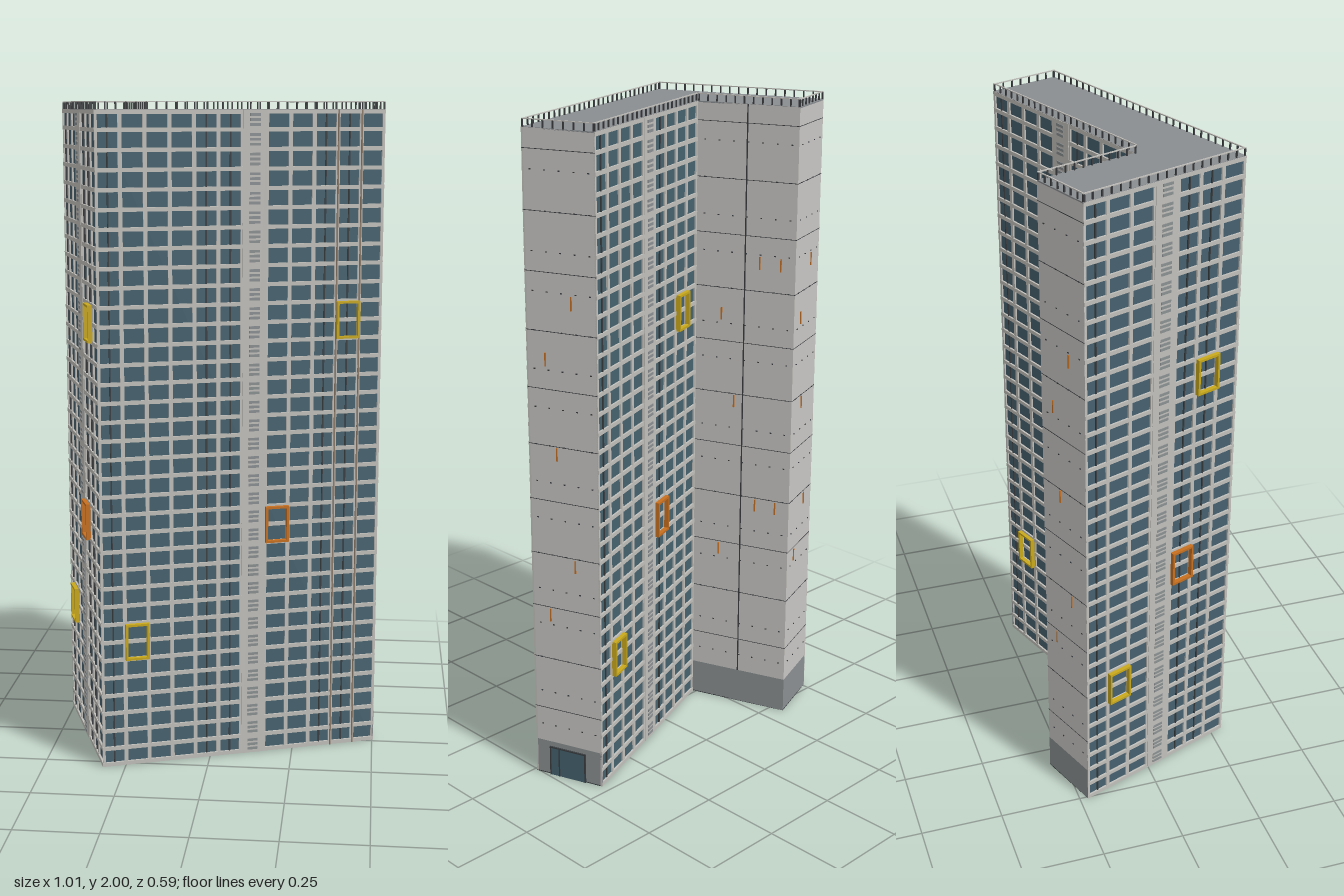
import * as THREE from 'three';
import { mergeGeometries } from 'three/addons/utils/BufferGeometryUtils.js';

const H = 1.976, FLOORS = 35, FH = H / FLOORS, INSET = 0.005;

function material(name, color) {
  const m = new THREE.MeshStandardMaterial({ color });
  m.name = name;
  return m;
}

const M = {
  glass: material('blue glass', 0x46626f),
  frame: material('pale frame', 0xc2c0bb),
  wall: material('concrete wall', 0xcac8c5),
  grey: material('grey plinth', 0x8b9092),
  roof: material('roof grey', 0x8a8d90),
  dark: material('dark metal', 0x3a3d40),
  yellow: material('yellow trim', 0xc9a91c),
  orange: material('orange trim', 0xc8701f),
  rust: material('rust pipe', 0x8c7a68),
};

// One wall: x runs left to right seen from outside, z points outward
class Wall {
  constructor(name, x, z, angle, length) {
    this.group = new THREE.Group();
    this.group.name = name;
    this.group.position.set(x, 0, z);
    this.group.rotation.y = angle;
    this.length = length;
    this.parts = new Map();
  }
  // Box given by its left, bottom and back corner
  box(part, mat, x, y, z, w, h, d) {
    if (!this.parts.has(part)) this.parts.set(part, { mat, list: [] });
    const g = new THREE.BoxGeometry(w, h, d).translate(x + w / 2, y + h / 2, z + d / 2);
    this.parts.get(part).list.push(g);
  }
  finish() {
    for (const [name, { mat, list }] of this.parts) {
      const mesh = new THREE.Mesh(mergeGeometries(list), mat);
      mesh.name = name;
      this.group.add(mesh);
    }
    return this.group;
  }
}

// Coloured surround, two floors high, standing proud of one bay
function surround(w, part, mat, bay, bw, floor) {
  const x = bay * bw, y = floor * FH, h = 2 * FH, t = 0.007, d = 0.014;
  w.box(part, mat, x, y, 0, t, h, d);
  w.box(part, mat, x + bw - t, y, 0, t, h, d);
  w.box(part, mat, x, y, 0, bw, t, d);
  w.box(part, mat, x, y + h - t, 0, bw, t, d);
}

function glazedWall(w, bays) {
  const L = w.length, bw = L / bays, stair = Math.floor(bays / 2);
  // Floor ledges and mullions
  for (let f = 0; f <= FLOORS; f++) {
    const y = Math.min(Math.max(f * FH - 0.006, 0), H - 0.012);
    w.box('floorLedges', M.frame, 0, y, -INSET, L, 0.012, INSET + 0.001);
  }
  for (let b = 0; b <= bays; b++) {
    const t = b === 0 || b === bays ? 0.008 : 0.012;
    const x = Math.min(Math.max(b * bw - t / 2, 0), L - t);
    w.box('mullions', M.frame, x, 0, -INSET, t, H, INSET);
  }
  // Thin dark bars dividing some of the bays
  for (let b = 0; b < bays; b++) {
    if (b === stair || (b % 5 !== 0 && b % 5 !== 4)) continue;
    w.box('windowBars', M.dark, (b + 0.5) * bw - 0.002, 0, -INSET, 0.004, H, INSET - 0.001);
  }
  // Stair strip with louvres on every floor
  const sx = stair * bw;
  w.box('stairStrip', M.frame, sx, 0, -INSET, bw, H, INSET + 0.002);
  for (let f = 0; f < FLOORS; f++) {
    for (let k = 0; k < 3; k++) {
      w.box('stairLouvres', M.grey, sx + bw * 0.28, f * FH + 0.01 + k * 0.014, 0, bw * 0.44, 0.008, 0.004);
    }
  }
  surround(w, 'lowerYellowSurround', M.yellow, 1, bw, 6);
  surround(w, 'orangeSurround', M.orange, stair + 1, bw, 12);
  surround(w, 'upperYellowSurround', M.yellow, bays - 2, bw, 23);
  return bw;
}

function blankWall(w) {
  const L = w.length, base = 2 * FH;
  w.box('plinth', M.grey, 0, 0, -INSET, L, base, INSET);
  w.box('concretePanel', M.wall, 0, base, -INSET, L, H - base, INSET);
  // Panel joints every three floors
  for (let f = 4; f < FLOORS; f += 3) {
    w.box('panelJoints', M.dark, 0, f * FH, 0, L, 0.0018, 0.0006);
  }
  // Rows of small fixings
  const n = Math.round(L / 0.045);
  for (let f = 3; f < FLOORS; f += 2) {
    for (let k = 0; k < n; k++) {
      w.box('fixings', M.dark, ((k + 0.5) * L) / n, f * FH, 0, 0.005, 0.003, 0.002);
    }
  }
  // Short orange markers
  for (const [t, y] of [[0.26, 1.31], [0.4, 1.03], [0.64, 1.48], [0.64, 0.69], [0.26, 0.52], [0.85, 1.48], [0.85, 0.69]]) {
    if (t > 0.8 && L < 0.3) continue;
    w.box('orangeMarkers', M.orange, t * L, y, 0, 0.004, 0.04, 0.003);
  }
}

// Posts and rail along the roof edge
function railing(w) {
  const L = w.length, n = Math.round(L / 0.03);
  for (let i = 0; i <= n; i++) {
    w.box('railPosts', M.dark, (i / n) * (L - 0.004), H, -0.006, 0.004, 0.022, 0.004);
  }
  w.box('topRail', M.frame, 0, 1.997, -0.006, L, 0.003, 0.004);
}

// L-shaped slab between two heights
function slab(name, mat, inset, y0, y1) {
  const i = inset;
  const pts = [[i, i], [0.875 - i, i], [0.875 - i, 0.224 - i], [0.2 - i, 0.224 - i], [0.2 - i, 0.55 - i], [i, 0.55 - i]];
  const shape = new THREE.Shape(pts.map(([x, y]) => new THREE.Vector2(x, y)));
  const g = new THREE.ExtrudeGeometry(shape, { depth: y1 - y0, bevelEnabled: false });
  g.rotateX(-Math.PI / 2).translate(0, y0, 0);
  const mesh = new THREE.Mesh(g, mat);
  mesh.name = name;
  return mesh;
}

export function createModel() {
  const model = new THREE.Group();
  model.name = 'towerBlock';
  const tower = new THREE.Group();
  tower.name = 'tower';
  tower.position.set(-0.317, 0, 0.291);
  tower.rotation.y = THREE.MathUtils.degToRad(20.2);
  model.add(tower);

  tower.add(slab('glassCore', M.glass, INSET, 0.002, H - 0.002));
  tower.add(slab('underside', M.dark, 0, 0, 0.003));
  tower.add(slab('roof', M.roof, 0, H - 0.003, H + 0.001));

  const q = Math.PI / 2;
  const front = new Wall('frontFacade', 0, 0, 0, 0.875);
  const longEnd = new Wall('longWingEnd', 0.875, 0, q, 0.224);
  const back = new Wall('backFacade', 0.875, -0.224, 2 * q, 0.675);
  const inner = new Wall('innerWall', 0.2, -0.224, q, 0.326);
  const shortEnd = new Wall('shortWingEnd', 0.2, -0.55, 2 * q, 0.2);
  const side = new Wall('sideFacade', 0, -0.55, -q, 0.55);

  const bw = glazedWall(front, 12);
  glazedWall(back, 9);
  glazedWall(side, 7);
  [longEnd, inner, shortEnd].forEach(blankWall);

  // Pipes on the front facade
  for (const b of [10, 11]) front.box('pipes', M.rust, b * bw - 0.002, 0, 0, 0.004, H, 0.004);

  // Vertical joint in the inner wall
  inner.box('verticalJoint', M.dark, 0.16, 2 * FH, 0, 0.004, H - 2 * FH, 0.001);

  // Entrance in the long wing's end
  longEnd.box('entranceGlass', M.glass, 0.05, 0, 0, 0.118, 0.095, 0.003);
  longEnd.box('entranceFrame', M.dark, 0.048, 0.093, 0, 0.122, 0.004, 0.005);
  for (const x of [0.048, 0.078, 0.166]) longEnd.box('entranceFrame', M.dark, x, 0, 0, 0.004, 0.095, 0.005);

  for (const w of [front, longEnd, back, inner, shortEnd, side]) {
    railing(w);
    tower.add(w.finish());
  }
  return model;
}
